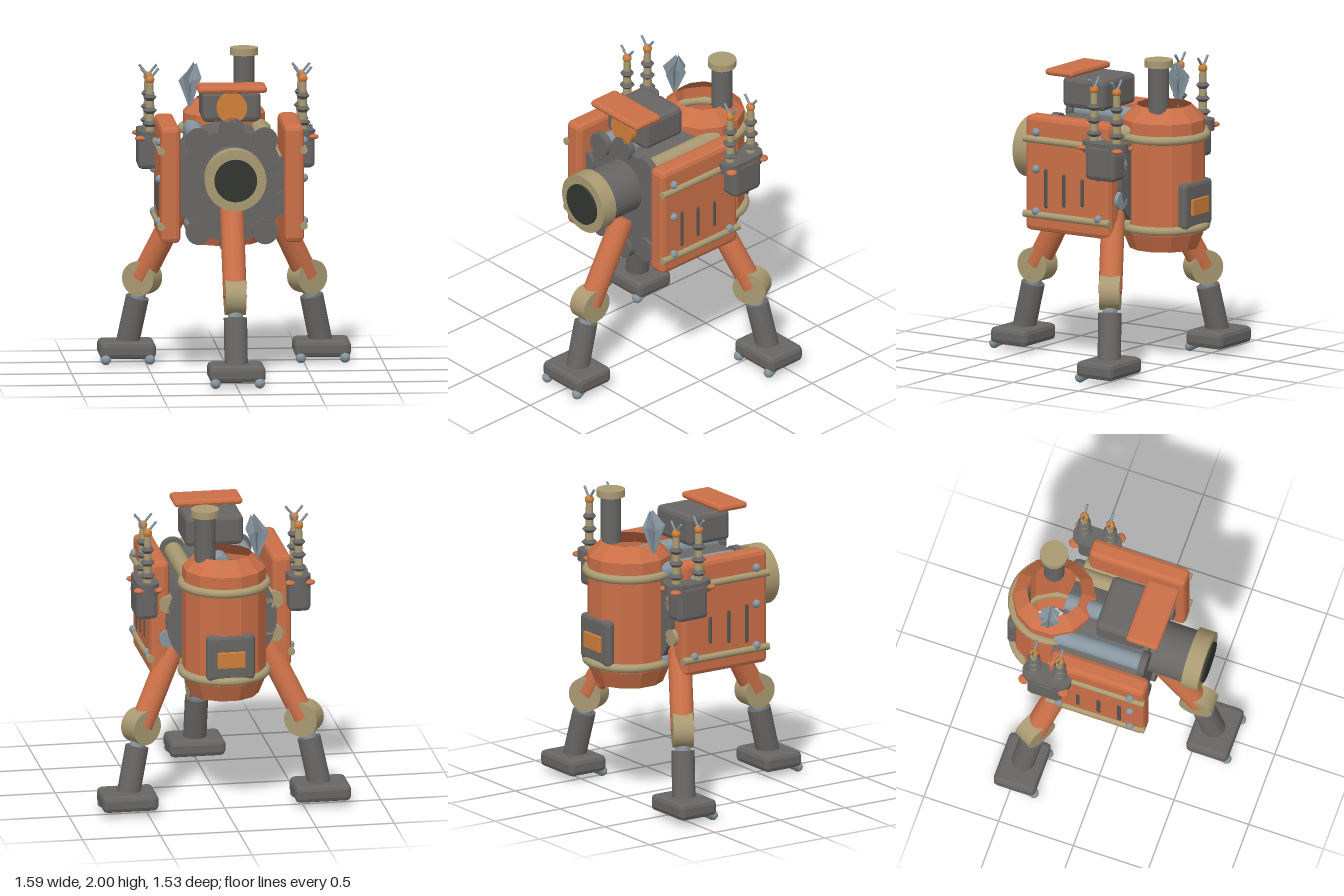
import * as THREE from 'three';
import { RoundedBoxGeometry } from 'three/addons/geometries/RoundedBoxGeometry.js';

const mat = (name, color, side = THREE.FrontSide) => {
  const m = new THREE.MeshStandardMaterial({ color, side });
  m.name = name;
  return m;
};
const V = (x, y, z) => new THREE.Vector3(x, y, z);

export function createModel() {
  const orange = mat('rust orange paint', 0xcb7048, THREE.DoubleSide);
  const dark = mat('dark iron', 0x686664);
  const tan = mat('tan brass', 0xa99a72);
  const steel = mat('blue steel', 0x8796a0, THREE.DoubleSide);
  const glow = mat('amber glow', 0xd0803a);
  const glass = mat('black glass', 0x33352f);
  const slot = mat('slot grey', 0x555452);

  const root = new THREE.Group();
  root.name = 'walkingMachine';
  const group = (name, parent = root) => {
    const g = new THREE.Group();
    g.name = name;
    parent.add(g);
    return g;
  };
  const add = (parent, name, geo, material, x = 0, y = 0, z = 0) => {
    const m = new THREE.Mesh(geo, material);
    m.name = name;
    m.position.set(x, y, z);
    parent.add(m);
    return m;
  };
  // bevelled box with flat facets
  const box = (parent, name, w, h, d, r, material, x, y, z) => {
    const g = new RoundedBoxGeometry(w, h, d, 1, r);
    g.computeVertexNormals();
    return add(parent, name, g, material, x, y, z);
  };
  // cylinder running from point a to point b
  const rod = (parent, name, a, b, r, material, seg = 24, r2 = r) => {
    const dir = b.clone().sub(a);
    const m = add(parent, name, new THREE.CylinderGeometry(r2, r, dir.length(), seg), material);
    m.position.copy(a).add(b).multiplyScalar(0.5);
    m.quaternion.setFromUnitVectors(V(0, 1, 0), dir.normalize());
    return m;
  };

  // boiler drum with ten pipes and end caps around it
  const boiler = group('boiler');
  const cy = 1.22;
  rod(boiler, 'drum', V(0, cy, -0.39), V(0, cy, 0.2), 0.355, dark, 48);
  for (let i = 0; i < 10; i++) {
    const a = (i * Math.PI) / 5;
    const x = 0.36 * Math.sin(a), y = cy + 0.36 * Math.cos(a);
    rod(boiler, 'pipe', V(x, y, -0.39), V(x, y, 0.175), 0.056, i % 3 ? tan : steel);
    rod(boiler, 'pipeCap', V(x, y, 0.175), V(x, y, 0.222), 0.08, dark);
  }

  // front lens
  const lens = group('lens');
  rod(lens, 'lensBarrel', V(0, 1.305, 0.19), V(0, 1.305, 0.45), 0.172, dark, 40);
  rod(lens, 'lensRing', V(0, 1.305, 0.44), V(0, 1.305, 0.55), 0.195, tan, 40);
  rod(lens, 'lensGlass', V(0, 1.305, 0.54), V(0, 1.305, 0.566), 0.135, glass, 40);

  // lamp housing with visor on top
  const lamp = group('lamp');
  box(lamp, 'lampHousing', 0.37, 0.2, 0.32, 0.03, dark, 0, 1.725, 0.02);
  rod(lamp, 'lampGlass', V(0, 1.72, 0.17), V(0, 1.72, 0.222), 0.097, glow, 32);
  box(lamp, 'visor', 0.44, 0.045, 0.215, 0.021, orange, 0, 1.845, 0.183);

  // open faceted furnace tank at the back
  const tank = group('furnaceTank');
  const profile = [[0.22, 0.77], [0.265, 0.88], [0.265, 1.6], [0.175, 1.69]];
  const shell = new THREE.LatheGeometry(
    profile.map(p => new THREE.Vector2(...p)), 12, Math.PI / 12).toNonIndexed();
  shell.computeVertexNormals();
  add(tank, 'tankShell', shell, orange, 0, 0, -0.475);
  for (const y of [0.915, 1.497]) {
    const hoop = add(tank, 'tankHoop', new THREE.TorusGeometry(0.267, 0.028, 12, 40), tan, 0, y, -0.475);
    hoop.rotation.x = Math.PI / 2;
  }
  box(tank, 'fireDoor', 0.31, 0.3, 0.065, 0.025, dark, 0, 1.07, -0.712);
  box(tank, 'fireWindow', 0.18, 0.105, 0.02, 0.004, glow, 0, 1.06, -0.75);
  rod(tank, 'chimney', V(0.13, 1.655, -0.522), V(0.13, 1.97, -0.522), 0.066, dark);
  rod(tank, 'chimneyCap', V(0.13, 1.955, -0.522), V(0.13, 2, -0.522), 0.09, tan, 32);

  // pleated steel plume on the tank rim
  const rings = [[1.64, 0.004], [1.81, 0.075], [1.905, 0.012]];
  const n = 18, pos = [], idx = [];
  rings.forEach(([y, r], k) => {
    for (let i = 0; i < n; i++) {
      const a = (i / n) * Math.PI * 2, q = i % 2 ? r * 0.35 : r;
      const lean = k === 2 ? 0.03 : 0;
      pos.push(q * Math.sin(a) - 0.22 + lean, y - (i % 2 ? 0 : 0.02 * Math.cos(i)), q * Math.cos(a) - 0.435);
      if (k < 2) {
        const p = k * n + i, s = k * n + (i + 1) % n;
        idx.push(p, s, s + n, p, s + n, p + n);
      }
    }
  });
  let plume = new THREE.BufferGeometry();
  plume.setAttribute('position', new THREE.Float32BufferAttribute(pos, 3));
  plume.setIndex(idx);
  plume = plume.toNonIndexed();
  plume.computeVertexNormals();
  add(tank, 'steelPlume', plume, steel);

  for (const s of [1, -1]) {
    // armoured side panel with rails, slots and rivets
    const side = group(s > 0 ? 'leftPanel' : 'rightPanel');
    box(side, 'panelPlate', 0.125, 0.743, 0.645, 0.03, orange, s * 0.392, 1.238, -0.042);
    for (const y of [0.973, 1.457])
      rod(side, 'panelRail', V(s * 0.452, y, 0.285), V(s * 0.452, y, -0.37), 0.024, tan, 12);
    [[0.117, 0.255], [-0.02, 0.215], [-0.16, 0.18]].forEach(([z, h]) => {
      const c = add(side, 'panelSlot', new THREE.CapsuleGeometry(0.013, h - 0.026, 4, 10), slot, s * 0.455, 1.15, z);
      c.scale.x = 0.6;
    });
    for (const z of [0.19, -0.285]) for (const y of [0.995, 1.268, 1.505])
      add(side, 'rivet', new THREE.SphereGeometry(0.027, 14, 10), steel, s * 0.458, y, z);

    // insulator box with two aerials
    const aerials = group(s > 0 ? 'leftAerials' : 'rightAerials');
    const ax = s * 0.485;
    box(aerials, 'aerialBox', 0.14, 0.23, 0.225, 0.028, dark, s * 0.49, 1.38, -0.357);
    box(aerials, 'aerialShelf', 0.14, 0.07, 0.18, 0.005, dark, ax, 1.473, -0.357);
    for (const z of [-0.27, -0.443]) {
      const e = z > -0.357 ? 1 : -1;
      rod(aerials, 'aerialBase', V(ax, 1.438, z), V(ax, 1.51, z), 0.074, dark);
      rod(aerials, 'aerialStem', V(ax, 1.5, z), V(ax, 1.83, z), 0.03, tan, 16, 0.022);
      for (const [y, r] of [[1.555, 0.05], [1.64, 0.046], [1.725, 0.042]]) {
        rod(aerials, 'insulatorUnder', V(ax, y - 0.025, z), V(ax, y, z), 0.022, dark, 16, r);
        rod(aerials, 'insulatorTop', V(ax, y, z), V(ax, y + 0.025, z), r, dark, 16, 0.022);
      }
      add(aerials, 'aerialBall', new THREE.SphereGeometry(0.029, 14, 10), glow, ax, 1.835, z);
      for (const d of [1, -1]) {
        rod(aerials, 'aerialProng', V(ax, 1.84, z), V(ax + d * 0.055, 1.908, z), 0.008, steel, 8);
        // rounded orange clamps at the shelf corners
        const c = add(aerials, 'clamp', new THREE.SphereGeometry(0.04, 12, 8), orange, ax + d * 0.062, 1.468, z + e * 0.045);
        c.scale.set(0.9, 0.42, 0.9);
      }
    }
  }

  // three legs: one forward, two splayed back at 120 degrees
  const legs = [
    ['frontLeg', 0, 0, 0.49],
    ['leftRearLeg', (Math.PI * 2) / 3, 0.523, -0.42],
    ['rightRearLeg', (-Math.PI * 2) / 3, -0.523, -0.42],
  ];
  for (const [name, a, kx, kz] of legs) {
    const leg = group(name);
    const sx = Math.sin(a), sz = Math.cos(a);
    const at = (out, y) => V(kx + sx * out, y, kz + sz * out);
    rod(leg, 'thigh', at(-0.285, 1.07), at(0, 0.55), 0.075, orange);
    const axis = V(sz, 0, -sx).multiplyScalar(0.065);
    rod(leg, 'knee', at(0, 0.55).sub(axis), at(0, 0.55).add(axis), 0.11, tan, 32);
    rod(leg, 'piston', at(0, 0.55), at(0.04, 0.39), 0.048, steel);
    rod(leg, 'shin', at(0.033, 0.425), at(0.105, 0.12), 0.074, dark);
    const f = at(0.11, 0);
    box(leg, 'foot', 0.357, 0.108, 0.277, 0.03, dark, f.x, 0.092, f.z);
    for (const d of [-0.14, 0.14]) {
      const tip = V(f.x + d, 0.036, f.z + 0.125);
      rod(leg, 'toe', V(f.x + d, 0.075, f.z + 0.05), tip, 0.031, steel, 14);
      add(leg, 'toeTip', new THREE.SphereGeometry(0.033, 14, 10), steel, tip.x, tip.y, tip.z);
    }
  }
  return root;
}
